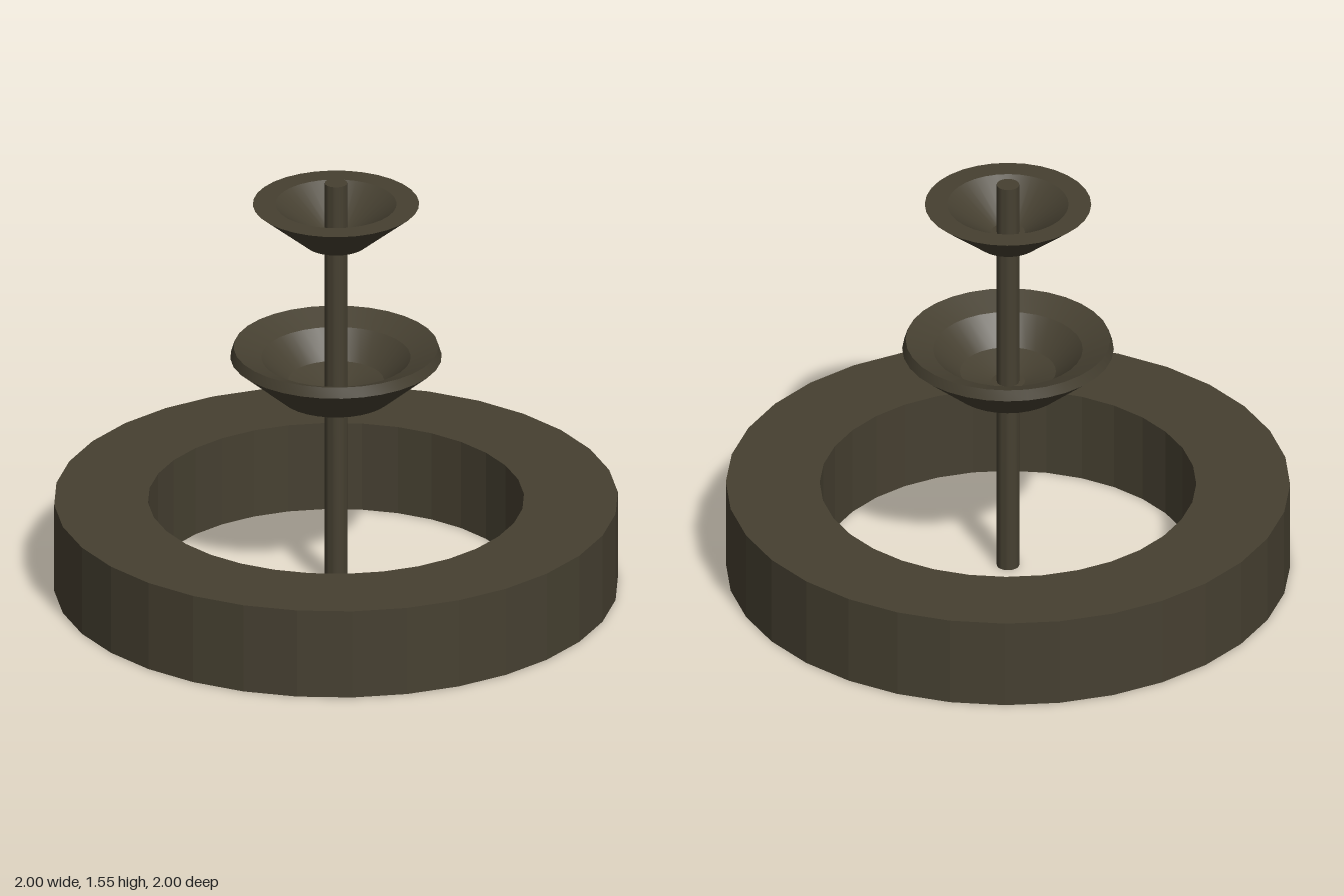
import * as THREE from 'three';
import { toCreasedNormals } from 'three/addons/utils/BufferGeometryUtils.js';

const SIDES = 32;

// Revolve a profile of [radius, height] pairs, listed up the outside and down the inside
function turned(name, profile, material, crease) {
  const points = profile.map(([r, y]) => new THREE.Vector2(r, y));
  const geometry = toCreasedNormals(new THREE.LatheGeometry(points, SIDES), crease);
  const mesh = new THREE.Mesh(geometry, material);
  mesh.name = name;
  return mesh;
}

export function createModel() {
  const group = new THREE.Group();
  group.name = 'fountain';
  const stone = new THREE.MeshStandardMaterial({ color: 0x464031 });
  stone.name = 'dark stone';

  // Faceted ring wall around the open pool
  group.add(turned('basinRing', [
    [1, 0], [1, 0.333], [0.667, 0.333], [0.667, 0], [1, 0],
  ], stone, 0.02));

  // Central column
  group.add(turned('column', [
    [0, 0], [0.04, 0], [0.04, 1.553], [0, 1.553],
  ], stone, 0.4));

  // Large lower bowl with a bevelled lip
  group.add(turned('lowerBowl', [
    [0, 0.695], [0.095, 0.695], [0.2, 0.733], [0.375, 0.882], [0.363, 0.92],
    [0.265, 0.88], [0.17, 0.79], [0.06, 0.75], [0, 0.75],
  ], stone, 0.3));

  // Small upper bowl with a flat rim
  group.add(turned('upperBowl', [
    [0, 1.32], [0.11, 1.32], [0.295, 1.472], [0.215, 1.472],
    [0.06, 1.36], [0, 1.36],
  ], stone, 0.3));

  return group;
}
